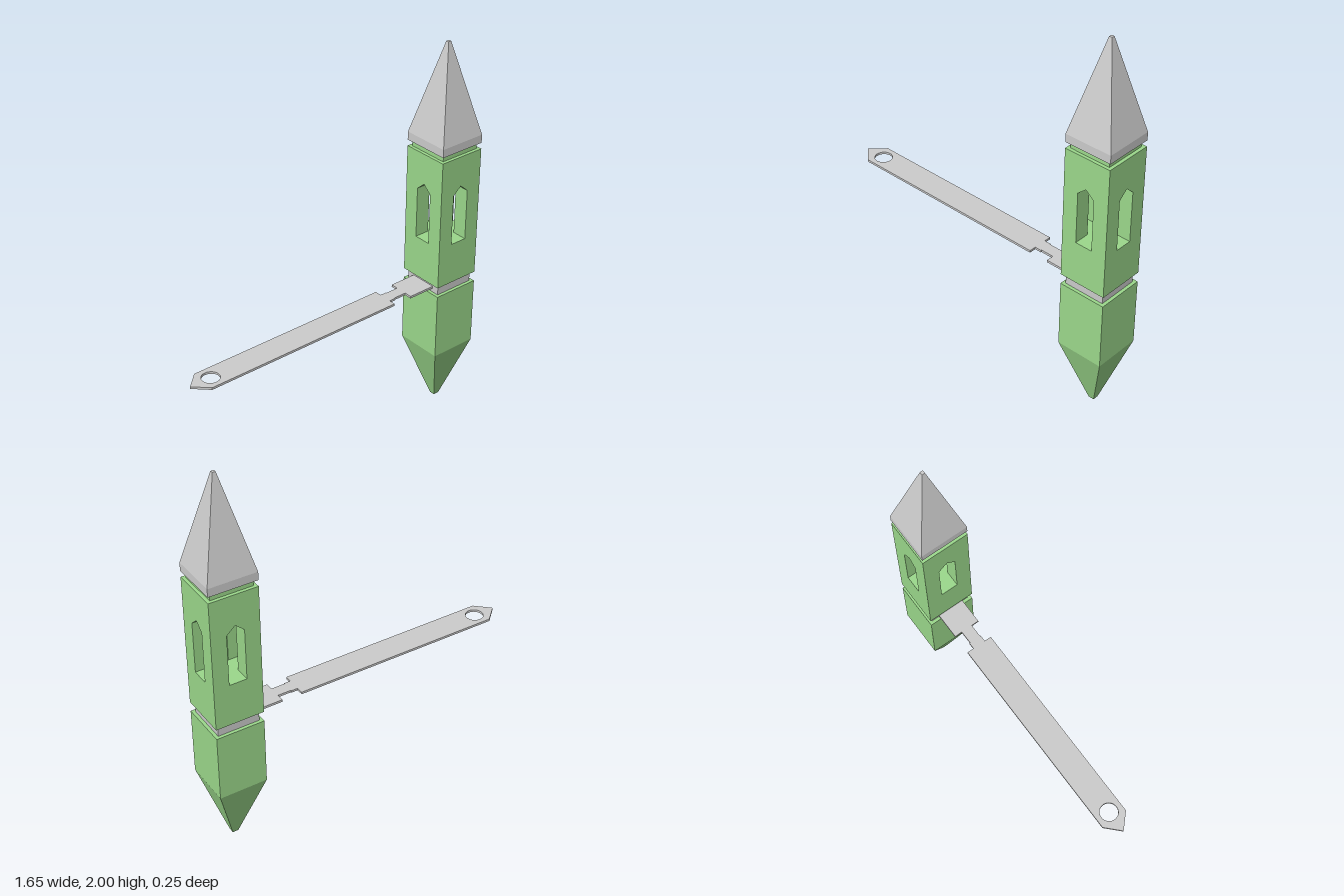
import * as THREE from 'three';

const green = new THREE.MeshStandardMaterial({ color: 0x9bd88b, flatShading: true });
const grey = new THREE.MeshStandardMaterial({ color: 0xcccccc, flatShading: true });
const W = 0.125; // half width of the tower

export function createModel() {
  const model = new THREE.Group();
  const tower = new THREE.Group();
  tower.name = 'tower';
  tower.position.x = 0.7;
  model.add(tower);

  const add = (name, geometry, material, y = 0, parent = tower) => {
    const mesh = new THREE.Mesh(geometry, material);
    mesh.name = name;
    mesh.position.y = y;
    parent.add(mesh);
  };
  // square block or frustum between two heights, given half widths
  const block = (name, y0, y1, half0, half1, material) => {
    const g = new THREE.CylinderGeometry(half1 * Math.SQRT2, half0 * Math.SQRT2, y1 - y0, 4);
    add(name, g.rotateY(Math.PI / 4), material, (y0 + y1) / 2);
  };

  block('pointedBase', 0, 0.35, 0.015, W, green);
  block('lowerBody', 0.35, 0.705, W, W, green);
  block('lowerNeck', 0.705, 0.758, 0.108, 0.108, grey);
  add('windowBody', windowBody(0.758, 1.45, 0.98, 1.25, 1.29, 0.045), green);
  block('upperNeck', 1.45, 1.482, 0.108, 0.108, green);
  block('roofBase', 1.482, 1.525, W, W, grey);
  block('spire', 1.525, 2, W, 0.008, grey);

  // flat arm with pointed end, notch and round hole, drawn in x/z
  const edge = [[-0.83, 0], [-0.757, 0.07], [0.34, 0.07], [0.34, 0.034],
    [0.375, 0.034], [0.375, 0.03], [0.445, 0.03], [0.445, 0.07], [0.6, 0.07]];
  const outline = [...edge, ...edge.slice(1).reverse().map(([x, z]) => [x, -z])];
  const shape = new THREE.Shape(outline.map(([x, z]) => new THREE.Vector2(x, z)));
  shape.holes.push(new THREE.Path().absarc(-0.715, 0, 0.045, 0, Math.PI * 2));
  const arm = new THREE.ExtrudeGeometry(shape, { depth: 0.012, bevelEnabled: false, curveSegments: 16 });
  add('arm', arm.rotateX(-Math.PI / 2), grey, 0.725, model);
  return model;
}

// square body pierced by two crossing passages with pointed ceilings
function windowBody(y0, y1, sill, spring, peak, w) {
  // half of one side; mirrored and turned to make the whole
  const half = [
    [[w, y0, W], [W, y0, W], [W, y1, W], [w, y1, W]],               // wall beside window
    [[0, y0, W], [w, y0, W], [w, sill, W], [0, sill, W]],           // wall below window
    [[0, peak, W], [w, spring, W], [w, y1, W], [0, y1, W]],         // wall above window
    [[w, sill, w], [w, sill, W], [w, spring, W], [w, spring, w]],   // passage wall
    [[w, spring, w], [w, spring, W], [0, peak, W], [0, peak, 0]],   // passage ceiling
    [[0, sill, W], [w, sill, W], [w, sill, w], [0, sill, 0]],       // passage floor
    [[0, y1, 0], [0, y1, W], [W, y1, W]],                           // top
    [[W, y0, W], [0, y0, W], [0, y0, 0]],                           // underside
  ];
  const positions = [];
  for (let turn = 0; turn < 4; turn++) {
    const c = [1, 0, -1, 0][turn], s = [0, 1, 0, -1][turn];
    for (const mirror of [1, -1]) {
      for (const face of half) {
        const p = face.map(([x, y, z]) => [c * mirror * x + s * z, y, c * z - s * mirror * x]);
        if (mirror < 0) p.reverse();
        for (let i = 1; i < p.length - 1; i++) positions.push(...p[0], ...p[i], ...p[i + 1]);
      }
    }
  }
  const g = new THREE.BufferGeometry();
  g.setAttribute('position', new THREE.Float32BufferAttribute(positions, 3));
  g.computeVertexNormals();
  return g;
}
